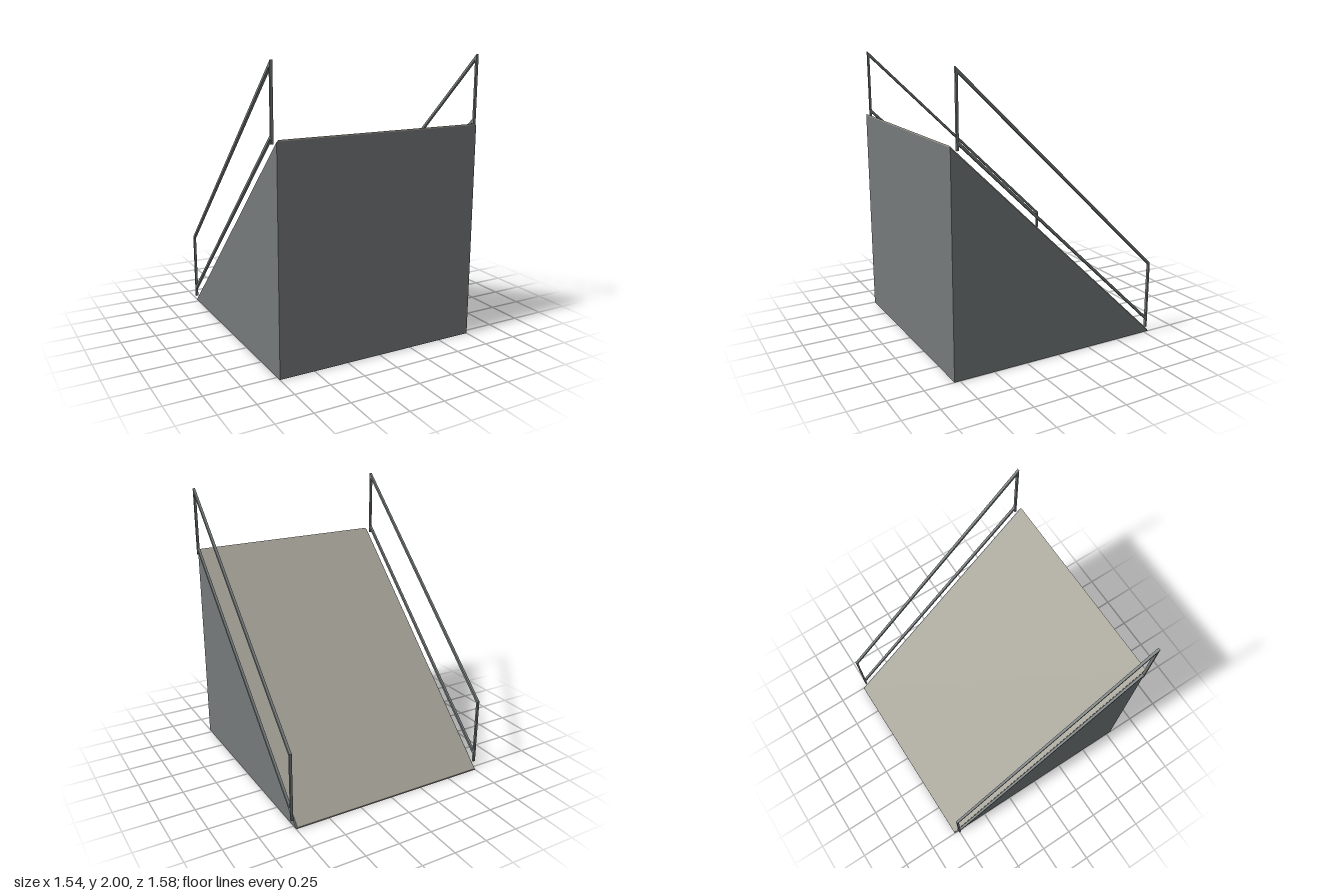
import * as THREE from 'three';

const concrete = new THREE.MeshStandardMaterial({ color: 0x757a7b });
concrete.name = 'slate grey';
const surface = new THREE.MeshStandardMaterial({ color: 0xa5a297 });
surface.name = 'warm stone';

// Extrudes a side profile of [z, y] points across x, centred on x = 0
function sidePart(name, points, width, material) {
  const shape = new THREE.Shape(points.map(([z, y]) => new THREE.Vector2(z, y)));
  const geometry = new THREE.ExtrudeGeometry(shape, { depth: width, bevelEnabled: false });
  geometry.translate(0, 0, -width / 2).rotateY(-Math.PI / 2);
  const mesh = new THREE.Mesh(geometry, material);
  mesh.name = name;
  return mesh;
}

// Parallelogram strip running down the slope, cut vertically at both ends
function slopedStrip(name, half, lowY, highY, height, width, material) {
  return sidePart(name, [
    [-half, lowY], [half, highY], [half, highY + height], [-half, lowY + height],
  ], width, material);
}

function createRailing(name, x) {
  const rail = new THREE.Group();
  rail.name = name;
  const width = 0.018;
  const half = 0.757;
  rail.add(slopedStrip('handrail', half, 0.52, 1.975, 0.025, width, concrete));
  rail.add(slopedStrip('lowerRail', half, 0.095, 1.55, 0.025, width, concrete));
  // Upright posts at the foot and the head of the slope
  const posts = [['footPost', -0.75, 0.05, 0.535], ['headPost', 0.75, 1.505, 1.985]];
  for (const [postName, z, bottom, top] of posts) {
    const post = new THREE.Mesh(new THREE.BoxGeometry(width, top - bottom, 0.014), concrete);
    post.name = postName;
    post.position.set(0, (bottom + top) / 2, z);
    rail.add(post);
  }
  rail.position.x = x;
  return rail;
}

export function createModel() {
  const model = new THREE.Group();
  model.name = 'ramp';

  // Solid wedge
  model.add(sidePart('wedge', [[-0.79, 0], [0.79, 0], [0.79, 1.525]], 1.5, concrete));

  // Walking surface, slightly narrower than the wedge
  model.add(slopedStrip('deck', 0.79, 0, 1.525, 0.01, 1.48, surface));

  // Railings on both sides
  model.add(createRailing('leftRailing', 0.763), createRailing('rightRailing', -0.763));
  return model;
}
